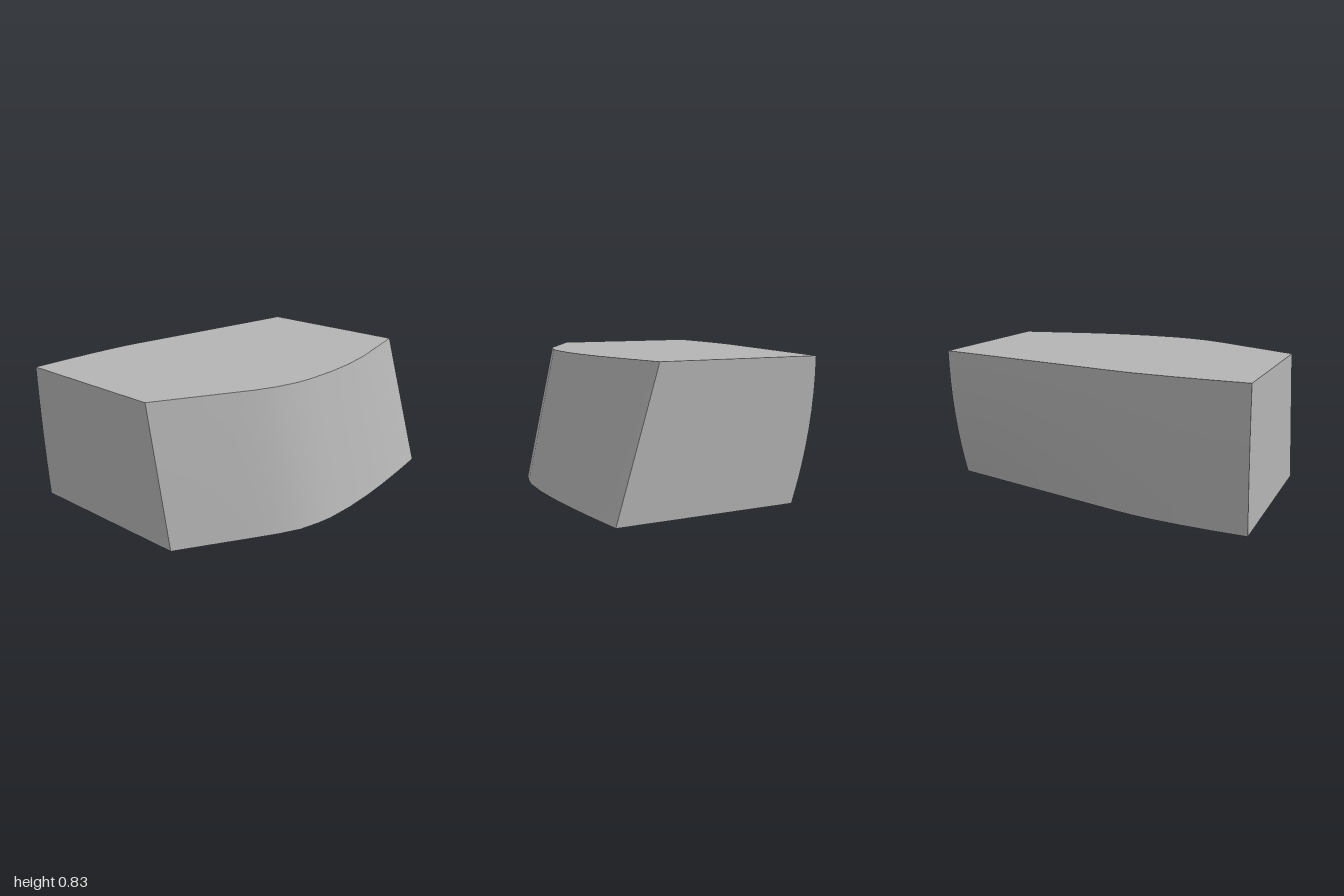
import * as THREE from 'three';

const H = 0.83;

// Outline stations from back to front:
// z, top left x, bottom left x, top right x, bottom right x
const STATIONS = [
  [-1.0, 0.45, 0.698, -0.535, -0.39],
  [-0.75, 0.507, 0.731, -0.578, -0.45],
  [-0.5, 0.562, 0.759, -0.622, -0.511],
  [-0.3, 0.59, 0.775, -0.657, -0.559],
  [-0.1, 0.6, 0.783, -0.692, -0.608],
  [0.1, 0.593, 0.776, -0.727, -0.656],
  [0.2, 0.578, 0.76, -0.745, -0.68],
  [0.33, 0.543, 0.727, -0.764, -0.708],
  [0.46, 0.487, 0.664, -0.775, -0.726],
  [0.6, 0.41, 0.582, -0.783, -0.74],
  [0.8, 0.3, 0.463, -0.789, -0.751],
  [1.0, 0.19, 0.345, -0.79, -0.755],
];
const LEVELS = 8;

// Left side leans straight; right side bows out towards the top
const leftPoint = (s, t) => [s[2] + (s[1] - s[2]) * t, H * t, s[0]];
const rightPoint = (s, t) => [s[3] + (s[4] - s[3]) * (1 - t) ** 2, H * t, s[0]];

// Grid surface through point(i, j); its front lies along (i step) x (j step)
function surface(ni, nj, point) {
  const pos = [], index = [];
  for (let i = 0; i <= ni; i++) {
    for (let j = 0; j <= nj; j++) {
      pos.push(...point(i, j));
      if (i < ni && j < nj) {
        const a = i * (nj + 1) + j, b = a + nj + 1;
        index.push(a, b, b + 1, a, b + 1, a + 1);
      }
    }
  }
  const g = new THREE.BufferGeometry();
  g.setAttribute('position', new THREE.Float32BufferAttribute(pos, 3));
  g.setIndex(index);
  g.computeVertexNormals();
  return g;
}

export function createModel() {
  const group = new THREE.Group();
  group.name = 'curvedBlock';
  const grey = new THREE.MeshStandardMaterial({ color: 0xb4b4b4 });
  grey.name = 'plainGrey';

  const n = STATIONS.length - 1;
  const back = STATIONS[0], front = STATIONS[n];
  const add = (name, geometry) => {
    const mesh = new THREE.Mesh(geometry, grey);
    mesh.name = name;
    group.add(mesh);
  };
  const edge = (s, t, j) => (j ? leftPoint(s, t) : rightPoint(s, t));

  // Flat top and bottom
  add('topFace', surface(n, 1, (i, j) => edge(STATIONS[i], 1, j)));
  add('bottomFace', surface(n, 1, (i, j) => edge(STATIONS[i], 0, 1 - j)));

  // Curved sides
  add('leftSide', surface(n, LEVELS, (i, j) => leftPoint(STATIONS[i], 1 - j / LEVELS)));
  add('rightSide', surface(n, LEVELS, (i, j) => rightPoint(STATIONS[i], j / LEVELS)));

  // Flat ends
  add('frontFace', surface(LEVELS, 1, (i, j) => edge(front, 1 - i / LEVELS, j)));
  add('backFace', surface(LEVELS, 1, (i, j) => edge(back, i / LEVELS, j)));

  return group;
}
